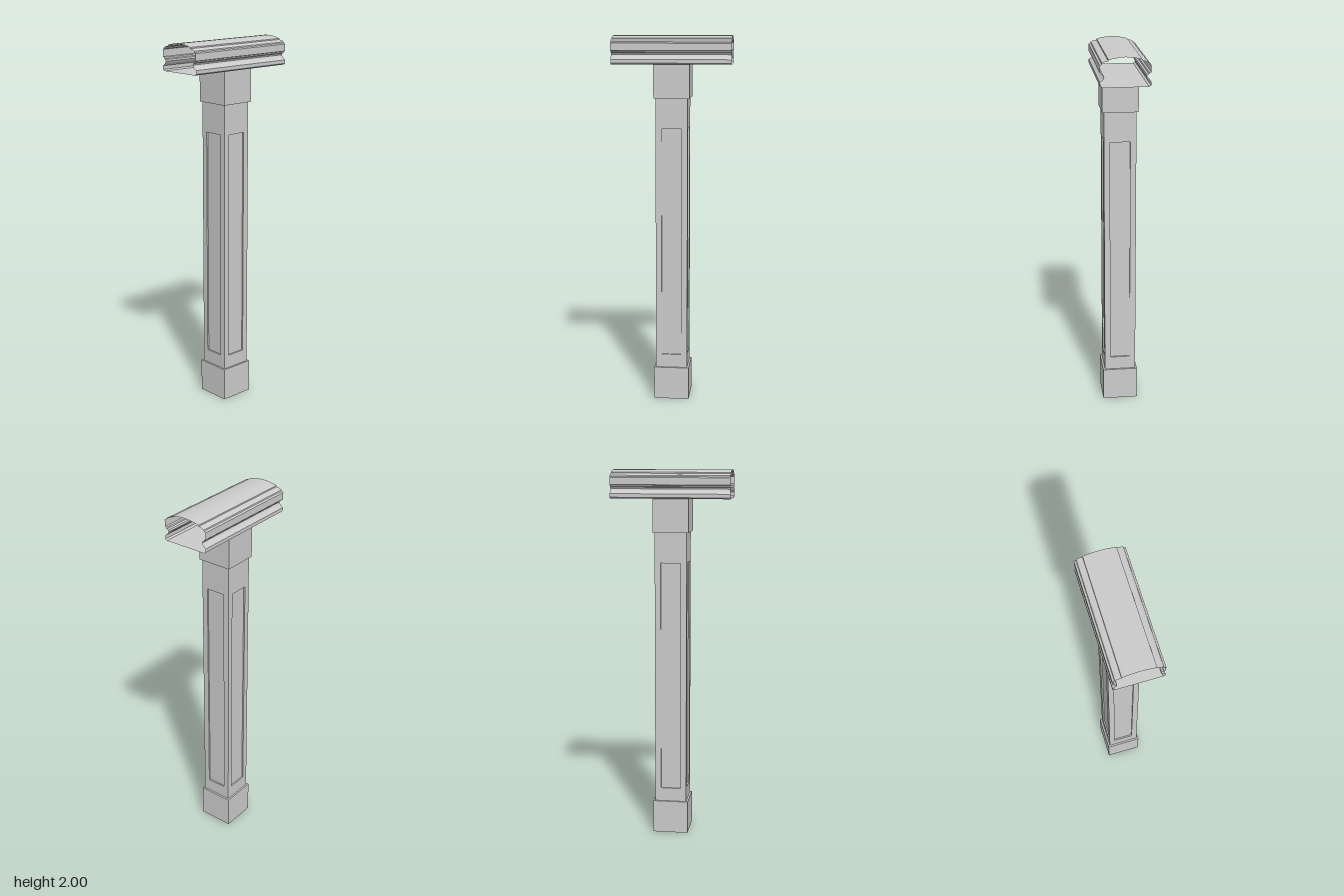
import * as THREE from 'three';
import { toCreasedNormals } from 'three/addons/utils/BufferGeometryUtils.js';

const material = new THREE.MeshStandardMaterial({ color: 0xcccccc, side: THREE.DoubleSide });

// Joins closed rings of [x, y, z] points into one surface with open ends
function loft(name, rings) {
  const n = rings[0].length;
  const index = [];
  for (let r = 0; r < rings.length - 1; r++) {
    for (let i = 0; i < n; i++) {
      const a = r * n + i, b = r * n + (i + 1) % n;
      index.push(a, b, b + n, a, b + n, a + n);
    }
  }
  const geometry = new THREE.BufferGeometry();
  geometry.setAttribute('position', new THREE.Float32BufferAttribute(rings.flat(2), 3));
  geometry.setIndex(index);
  const mesh = new THREE.Mesh(toCreasedNormals(geometry, Math.PI / 7), material);
  mesh.name = name;
  return mesh;
}

// Horizontal square ring, and upright rectangle facing +z
const square = (h, y) => [[-h, y, h], [h, y, h], [h, y, -h], [-h, y, -h]];
const rect = (h, y0, y1, z) => [[-h, y0, z], [h, y0, z], [h, y1, z], [-h, y1, z]];

export function createModel() {
  const model = new THREE.Group();
  model.name = 'railPost';

  const outer = 0.096, inner = 0.086;
  const baseTop = 0.18, capBottom = 1.67, capTop = 1.85;

  // Hollow base and cap sleeves, each with a ledge back to the shaft
  model.add(loft('base', [square(outer, 0), square(outer, baseTop), square(inner, baseTop)]));
  model.add(loft('cap', [square(inner, capBottom), square(outer, capBottom), square(outer, capTop)]));

  // Four shaft sides, each with a shallow recessed panel
  const shaft = new THREE.Group();
  shaft.name = 'shaft';
  const panelW = 0.054, panelY0 = 0.254, panelY1 = 1.508, sunk = inner - 0.008;
  const middle = (panelY0 + panelY1) / 2;
  for (let i = 0; i < 4; i++) {
    const side = loft('shaftSide', [
      rect(inner, baseTop, capBottom, inner),
      rect(panelW, panelY0, panelY1, inner),
      rect(panelW, panelY0, panelY1, sunk),
      rect(0, middle, middle, sunk),
    ]);
    side.rotation.y = i * Math.PI / 2;
    shaft.add(side);
  }
  model.add(shaft);

  // Right half of the handrail profile, from the underside up to the crown
  const half = [
    [0.118, 1.85], [0.128, 1.857], [0.128, 1.876], [0.119, 1.883], [0.109, 1.892],
    [0.105, 1.901], [0.108, 1.909], [0.117, 1.913], [0.119, 1.92], [0.128, 1.923],
    [0.128, 1.96], [0.118, 1.965], [0.116, 1.971], [0.106, 1.977], [0.085, 1.981],
    [0.084, 1.987], [0.06, 1.993], [0.03, 1.998],
  ];
  const profile = [...half, [0, 2], ...half.map(([x, y]) => [-x, y]).reverse()];

  // Open-ended length of handrail
  model.add(loft('handrail', [-0.319, 0.319].map((z) => profile.map(([x, y]) => [x, y, z]))));

  return model;
}
